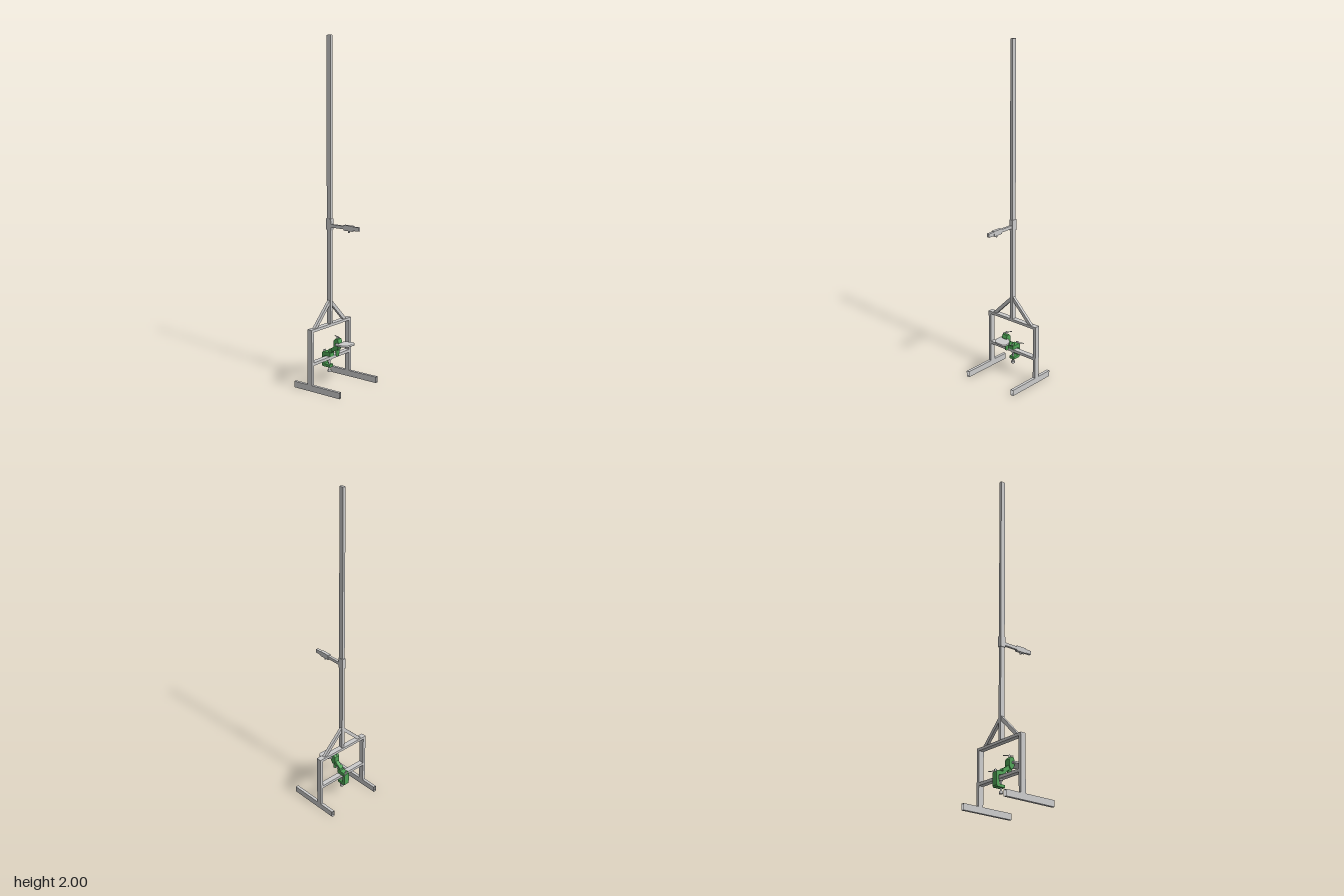
import * as THREE from 'three';

export function createModel() {
  const root = new THREE.Group();
  const steel = new THREE.MeshStandardMaterial({ color: 0xcccccc });
  const tubeSteel = new THREE.MeshStandardMaterial({ color: 0xcccccc, side: THREE.DoubleSide });
  const green = new THREE.MeshStandardMaterial({ color: 0x4fa456 });

  const add = (name, geo, mat = steel, parent = root) => {
    const m = new THREE.Mesh(geo, mat);
    m.name = name;
    parent.add(m);
    return m;
  };
  // Box given by its limits on each axis
  const box = (name, [x0, x1], [y0, y1], [z0, z1], mat, parent) => {
    const m = add(name, new THREE.BoxGeometry(x1 - x0, y1 - y0, z1 - z0), mat, parent);
    m.position.set((x0 + x1) / 2, (y0 + y1) / 2, (z0 + z1) / 2);
    return m;
  };
  // Round rod between two points
  const rod = (name, a, b, r, mat, parent, r2 = r) => {
    const p = new THREE.Vector3(...a), q = new THREE.Vector3(...b);
    const d = q.clone().sub(p);
    const m = add(name, new THREE.CylinderGeometry(r2, r, d.length(), 20), mat, parent);
    m.position.copy(p).add(q).multiplyScalar(0.5);
    m.quaternion.setFromUnitVectors(new THREE.Vector3(0, 1, 0), d.normalize());
    return m;
  };
  // Flat side profile, given as [z, y] points, extruded across x
  const sideProfile = (name, pts, width, x, mat, parent) => {
    const shape = new THREE.Shape(pts.map(([z, y]) => new THREE.Vector2(-z, y)));
    const bevel = 0.002;
    const g = new THREE.ExtrudeGeometry(shape, {
      depth: width - 2 * bevel, bevelThickness: bevel, bevelSize: bevel, bevelOffset: -bevel, bevelSegments: 2,
    });
    g.translate(0, 0, -width / 2 + bevel).rotateY(Math.PI / 2);
    const m = add(name, g, mat, parent);
    m.position.x = x;
    return m;
  };

  // Frame: open tube feet, legs, two cross bars
  const frame = new THREE.Group();
  frame.name = 'frame';
  root.add(frame);
  const Z = [-0.066, -0.034];
  for (const [side, x] of [['right', [-0.183, -0.165]], ['left', [0.164, 0.182]]]) {
    const foot = box(side + 'Foot', x, [0, 0.036], [-0.166, 0.163], tubeSteel, frame);
    // Leave the two tube ends open
    foot.geometry.setIndex([...foot.geometry.index.array].slice(0, 24));
    box(side + 'Leg', x, [0.036, 0.345], Z, steel, frame);
  }
  box('topBar', [-0.183, 0.182], [0.345, 0.361], Z, steel, frame);
  box('middleBar', [-0.165, 0.164], [0.149, 0.166], Z, steel, frame);

  // Diagonal braces, cut flat on the bar and against the pole
  const cx = -0.003;
  for (const s of [-1, 1]) {
    const shape = new THREE.Shape();
    shape.moveTo(s * 0.147, 0.361);
    shape.lineTo(s * 0.008, 0.5);
    shape.lineTo(s * 0.008, 0.472);
    shape.lineTo(s * 0.119, 0.361);
    const g = new THREE.ExtrudeGeometry(shape, { depth: 0.017, bevelEnabled: false });
    add(s < 0 ? 'rightBrace' : 'leftBrace', g, steel, frame).position.set(cx, 0, -0.057);
  }

  // Pole with sliding collar and forward arm
  box('pole', [-0.012, 0.005], [0.361, 2], [-0.061, -0.033]);
  box('collar', [-0.015, 0.008], [0.91, 0.975], [-0.064, -0.03]);
  const arm = new THREE.Group();
  arm.name = 'arm';
  root.add(arm);
  box('armTube', [-0.011, 0.004], [0.925, 0.943], [-0.03, 0.06], steel, arm);
  box('armSleeve', [-0.013, 0.006], [0.918, 0.949], [0.058, 0.122], steel, arm);
  box('armTip', [-0.011, 0.005], [0.923, 0.945], [0.122, 0.163], steel, arm);
  rod('armKnob', [cx, 0.92, 0.092], [cx, 0.907, 0.092], 0.006, steel, arm);

  // Green clamp hooked around the middle bar from behind
  const clamp = new THREE.Group();
  clamp.name = 'clamp';
  root.add(clamp);
  sideProfile('clampBody', [
    [-0.03, 0.19], [-0.085, 0.19], [-0.094, 0.181], [-0.094, 0.108], [-0.086, 0.1],
    [-0.036, 0.1], [-0.036, 0.116], [-0.074, 0.118], [-0.077, 0.166], [-0.03, 0.166],
  ], 0.036, cx, green, clamp);
  rod('clampScrew', [cx, 0.078, -0.05], [cx, 0.143, -0.05], 0.006, steel, clamp);
  rod('clampPad', [cx, 0.141, -0.05], [cx, 0.149, -0.05], 0.012, steel, clamp);
  rod('clampKnob', [cx, 0.07, -0.05], [cx, 0.082, -0.05], 0.011, steel, clamp);
  rod('lockPin', [cx, 0.17, -0.087], [cx, 0.197, -0.087], 0.007, steel, clamp);
  rod('lockHandle', [cx, 0.188, -0.087], [0.033, 0.188, -0.106], 0.0025, steel, clamp);

  // Slanted neck carrying the upper holder
  sideProfile('neck', [
    [-0.03, 0.19], [-0.052, 0.19], [-0.035, 0.212], [-0.008, 0.232], [0.002, 0.25],
    [0.02, 0.24], [0.012, 0.215], [-0.012, 0.2],
  ], 0.024, cx, green, clamp);
  rod('neckJoint', [-0.017, 0.2, -0.035], [0.011, 0.2, -0.035], 0.013, green, clamp);
  rod('jointLever', [0.009, 0.2, -0.03], [0.015, 0.205, -0.02], 0.004, steel, clamp);
  sideProfile('holder', [
    [0.03, 0.262], [0.024, 0.28], [0.004, 0.28], [-0.008, 0.265], [-0.008, 0.23],
    [0.002, 0.212], [0.016, 0.212], [0.03, 0.235],
  ], 0.036, cx, green, clamp);
  rod('holderScrew', [cx, 0.175, 0.008], [cx, 0.294, 0.008], 0.006, steel, clamp);
  rod('holderFoot', [cx, 0.178, 0.008], [cx, 0.214, 0.008], 0.01, green, clamp, 0.013);
  rod('holderHandle', [-0.012, 0.29, 0.03], [0.012, 0.29, -0.022], 0.0025, steel, clamp);

  // Rounded, lopsided plate held in front
  const outline = [
    [-0.03, 0.012], [-0.039, 0.02], [-0.039, 0.05], [-0.034, 0.074], [-0.015, 0.094], [0.02, 0.098],
    [0.046, 0.096], [0.058, 0.078], [0.053, 0.052], [0.038, 0.028], [0.015, 0.015],
  ].map(([x, z]) => new THREE.Vector3(x, z, 0));
  const curve = new THREE.CatmullRomCurve3(outline, true);
  const plateShape = new THREE.Shape(curve.getPoints(60).slice(0, -1).map(p => new THREE.Vector2(p.x, p.y)));
  const plate = new THREE.ExtrudeGeometry(plateShape, {
    depth: 0.004, bevelThickness: 0.004, bevelSize: 0.004, bevelOffset: -0.004, bevelSegments: 4,
  });
  add('plate', plate.rotateX(Math.PI / 2)).position.y = 0.252;

  return root;
}
